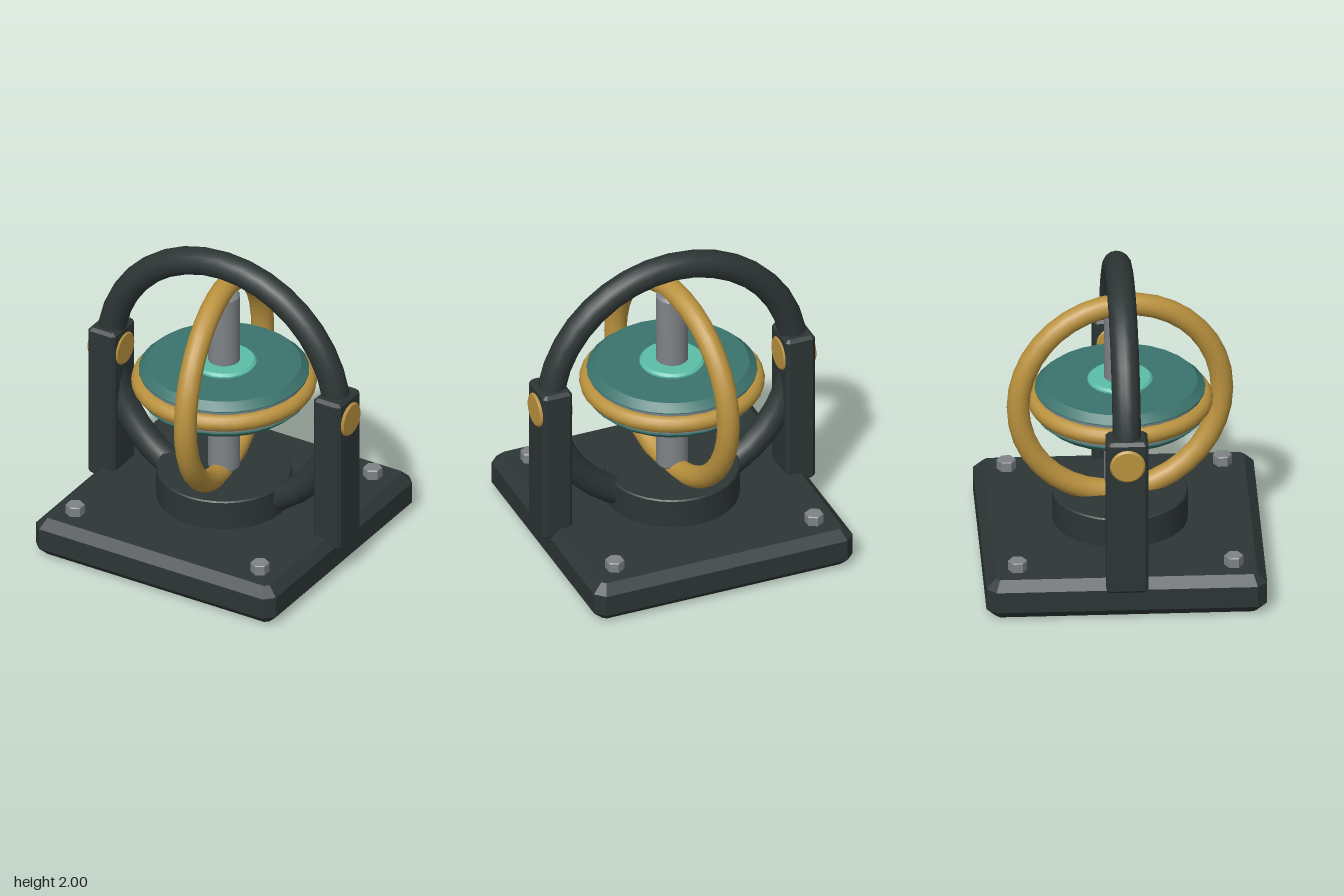
import * as THREE from 'three';
import { toCreasedNormals } from 'three/addons/utils/BufferGeometryUtils.js';

const material = (name, color) => {
  const m = new THREE.MeshStandardMaterial({ color });
  m.name = name;
  return m;
};

export function createModel() {
  const model = new THREE.Group();
  model.name = 'gyroscope';

  const iron = material('dark iron', 0x2d3535);
  const brass = material('brass', 0xba923e);
  const teal = material('teal enamel', 0x3b736c);
  const mint = material('mint enamel', 0x5bbda7);
  const steel = material('steel', 0x7f8386);

  const AXIS_Y = 1.09;

  const add = (name, geometry, mat, x = 0, y = 0, z = 0) => {
    const mesh = new THREE.Mesh(geometry, mat);
    mesh.name = name;
    mesh.position.set(x, y, z);
    model.add(mesh);
    return mesh;
  };

  // Box with chamfered edges and corners, centred on the origin
  const chamferBox = (w, h, d, c) => {
    const x = w / 2, z = d / 2;
    const shape = new THREE.Shape([
      [-x + c, -z], [x - c, -z], [x, -z + c], [x, z - c],
      [x - c, z], [-x + c, z], [-x, z - c], [-x, -z + c],
    ].map(([a, b]) => new THREE.Vector2(a, b)));
    const geo = new THREE.ExtrudeGeometry(shape, {
      depth: h - 2 * c, bevelEnabled: true, bevelSegments: 1,
      bevelThickness: c, bevelSize: c, bevelOffset: -c,
    });
    return geo.translate(0, 0, c - h / 2).rotateX(-Math.PI / 2);
  };

  // Solid disc with chamfered rims, spanning y0 to y1; zero means a sharp rim
  const disc = (r, y0, y1, bottom, top, sides, chamferHeight = top || bottom) => {
    const profile = [[0, y0], [r - bottom, y0]];
    if (bottom) profile.push([r, y0 + chamferHeight]);
    if (top) profile.push([r, y1 - chamferHeight]);
    profile.push([r - top, y1], [0, y1]);
    const pts = profile.map(([a, b]) => new THREE.Vector2(a, b));
    return toCreasedNormals(new THREE.LatheGeometry(pts, sides), 0.5);
  };

  // Base plate and pedestal
  add('basePlate', chamferBox(1.74, 0.26, 1.74, 0.06), iron, 0, 0.13, 0);
  add('pedestal', disc(0.42, 0.24, 0.455, 0, 0.008, 32), iron);

  // Hexagonal bolts in the corners
  for (const x of [-0.67, 0.67]) {
    for (const z of [-0.67, 0.67]) {
      add('bolt', disc(0.06, 0.25, 0.325, 0, 0.006, 6), steel, x, 0, z);
    }
  }

  // Side posts with their pivot pins
  for (const side of [-1, 1]) {
    add('post', chamferBox(0.195, 1.05, 0.26, 0.02), iron, side * 0.817, 0.72, 0);
    const pin = add('pivotPin', disc(0.11, -0.11, 0.11, 0.012, 0.012, 24), brass,
      side * 0.82, AXIS_Y, 0);
    pin.rotation.z = Math.PI / 2;
  }

  // Fixed outer ring
  add('outerRing', new THREE.TorusGeometry(0.822, 0.088, 16, 36), iron, 0, AXIS_Y, 0);

  // Upright gimbal ring, turned slightly about the vertical
  const gimbal = add('gimbalRing', new THREE.TorusGeometry(0.647, 0.071, 16, 36), brass,
    0, AXIS_Y + 0.005, 0);
  gimbal.rotation.y = Math.PI / 2 + 0.168;

  // Flywheel: steel core, enamelled faces, hub, shaft and brass rim
  add('flywheelCore', disc(0.52, 1.01, 1.17, 0, 0, 28), steel);
  add('flywheelUpperFace', disc(0.53, 1.165, 1.217, 0, 0.05, 28, 0.045), teal);
  add('flywheelLowerFace', disc(0.53, 0.963, 1.015, 0.05, 0, 28, 0.045), teal);
  add('hub', disc(0.203, 0.937, 1.243, 0.015, 0.015, 24), mint);
  add('shaft', disc(0.1, 0.465, 1.72, 0.018, 0.018, 20), steel);
  const rim = add('flywheelRim', new THREE.TorusGeometry(0.52, 0.056, 14, 36), brass,
    0, AXIS_Y, 0);
  rim.rotation.x = Math.PI / 2;

  return model;
}
